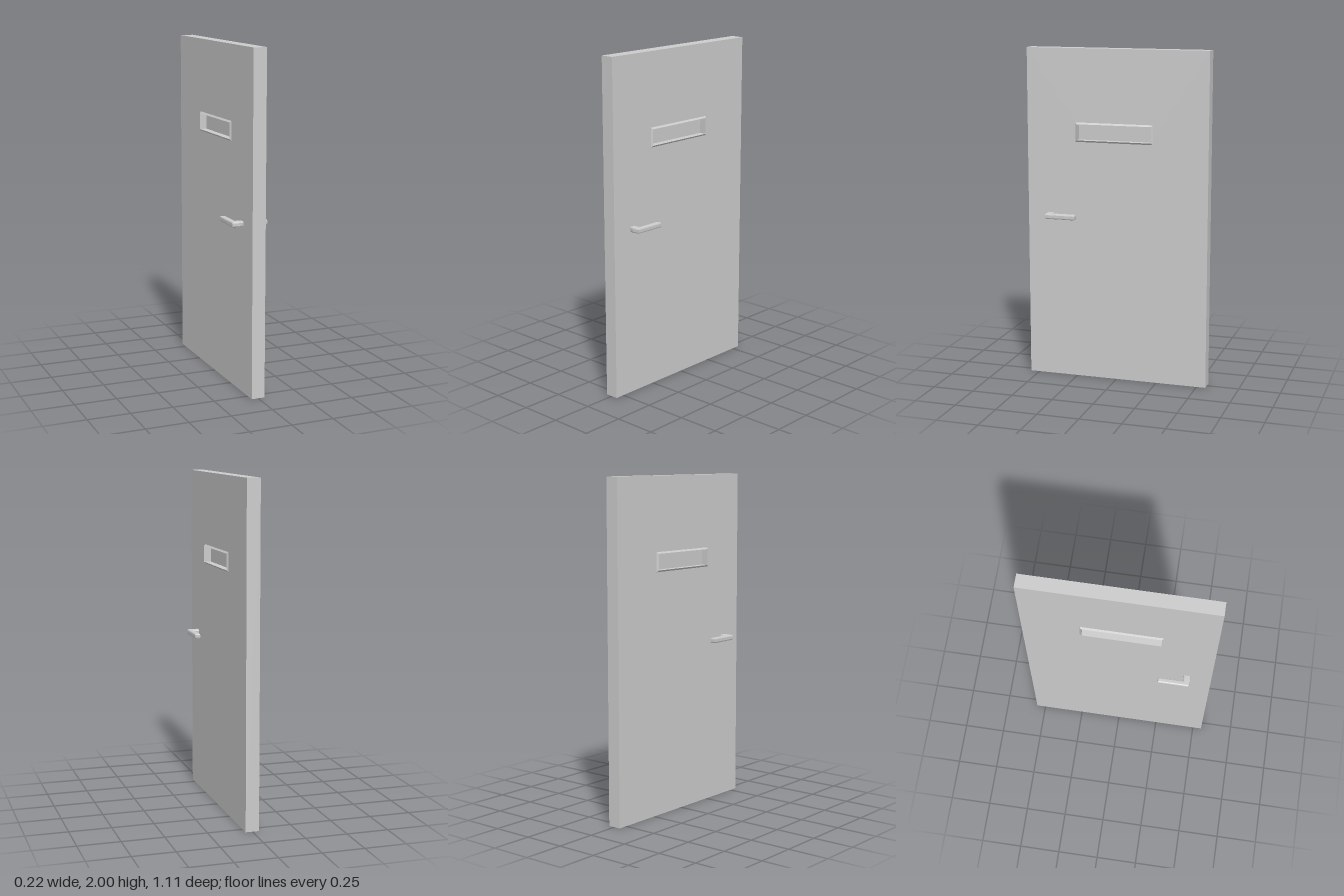
import * as THREE from 'three';

const grey = new THREE.MeshStandardMaterial({ color: 0xcccccc, flatShading: true });
const HALF = 0.04;                                   // half the door thickness
const WIN = { z: 0.016, y: 1.506, w: 0.455, h: 0.096 }; // window opening

function mesh(geometry, name) {
  const m = new THREE.Mesh(geometry, grey);
  m.name = name;
  return m;
}

// Slab cut through by the window opening
function doorSlab() {
  const shape = new THREE.Shape([[-0.555, 0], [0.555, 0], [0.555, 2], [-0.555, 2]]
    .map(([x, y]) => new THREE.Vector2(x, y)));
  const x0 = -WIN.z - WIN.w / 2, x1 = -WIN.z + WIN.w / 2;
  const y0 = WIN.y - WIN.h / 2, y1 = WIN.y + WIN.h / 2;
  shape.holes.push(new THREE.Path([[x0, y0], [x0, y1], [x1, y1], [x1, y0]]
    .map(([x, y]) => new THREE.Vector2(x, y))));
  const geo = new THREE.ExtrudeGeometry(shape, { depth: 2 * HALF, bevelEnabled: false });
  geo.translate(0, 0, -HALF).rotateY(Math.PI / 2);
  return mesh(geo, 'doorSlab');
}

// Sloping window surround: rectangular rings from the door face to the lip, then in to the pane
function windowTrim() {
  const rings = [[HALF, 0.01], [0.049, 0], [0.005, 0]].map(([x, grow]) => {
    const z = WIN.w / 2 + grow, y = WIN.h / 2 + grow;
    return [[x, -y, z], [x, -y, -z], [x, y, -z], [x, y, z]];
  });
  const pos = [];
  for (let k = 0; k < 2; k++) {
    for (let i = 0; i < 4; i++) {
      const j = (i + 1) % 4;
      const [a, b, c, d] = [rings[k][i], rings[k][j], rings[k + 1][j], rings[k + 1][i]];
      pos.push(...a, ...b, ...c, ...a, ...c, ...d);
    }
  }
  const geo = new THREE.BufferGeometry();
  geo.setAttribute('position', new THREE.Float32BufferAttribute(pos, 3));
  geo.computeVertexNormals();
  return mesh(geo, 'windowTrim');
}

// L-shaped lever: short stem out of the door, then a grip running along it
function leverHandle() {
  const outline = [[0.035, 0.39], [0.076, 0.39], [0.076, 0.241], [0.108, 0.241],
    [0.108, 0.428], [0.065, 0.433], [0.035, 0.428]];
  const shape = new THREE.Shape(outline.map(([x, z]) => new THREE.Vector2(x, -z)));
  const b = 0.008;
  const geo = new THREE.ExtrudeGeometry(shape, {
    depth: 0.016, bevelThickness: b, bevelSize: b, bevelOffset: -b, bevelSegments: 2,
  });
  geo.translate(0, 0, -0.008).rotateX(-Math.PI / 2);
  return mesh(geo, 'leverHandle');
}

export function createModel() {
  const door = new THREE.Group();
  door.name = 'door';
  door.add(doorSlab());

  const pane = mesh(new THREE.BoxGeometry(0.012, WIN.h, WIN.w), 'windowPane');
  pane.position.set(0, WIN.y, WIN.z);
  door.add(pane);

  // Same trim and handle on both faces
  for (const turn of [0, Math.PI]) {
    const trim = windowTrim();
    trim.position.set(0, WIN.y, WIN.z);
    const handle = leverHandle();
    handle.position.y = 1;
    for (const part of [trim, handle]) {
      part.rotation.z = turn;
      door.add(part);
    }
  }
  return door;
}
